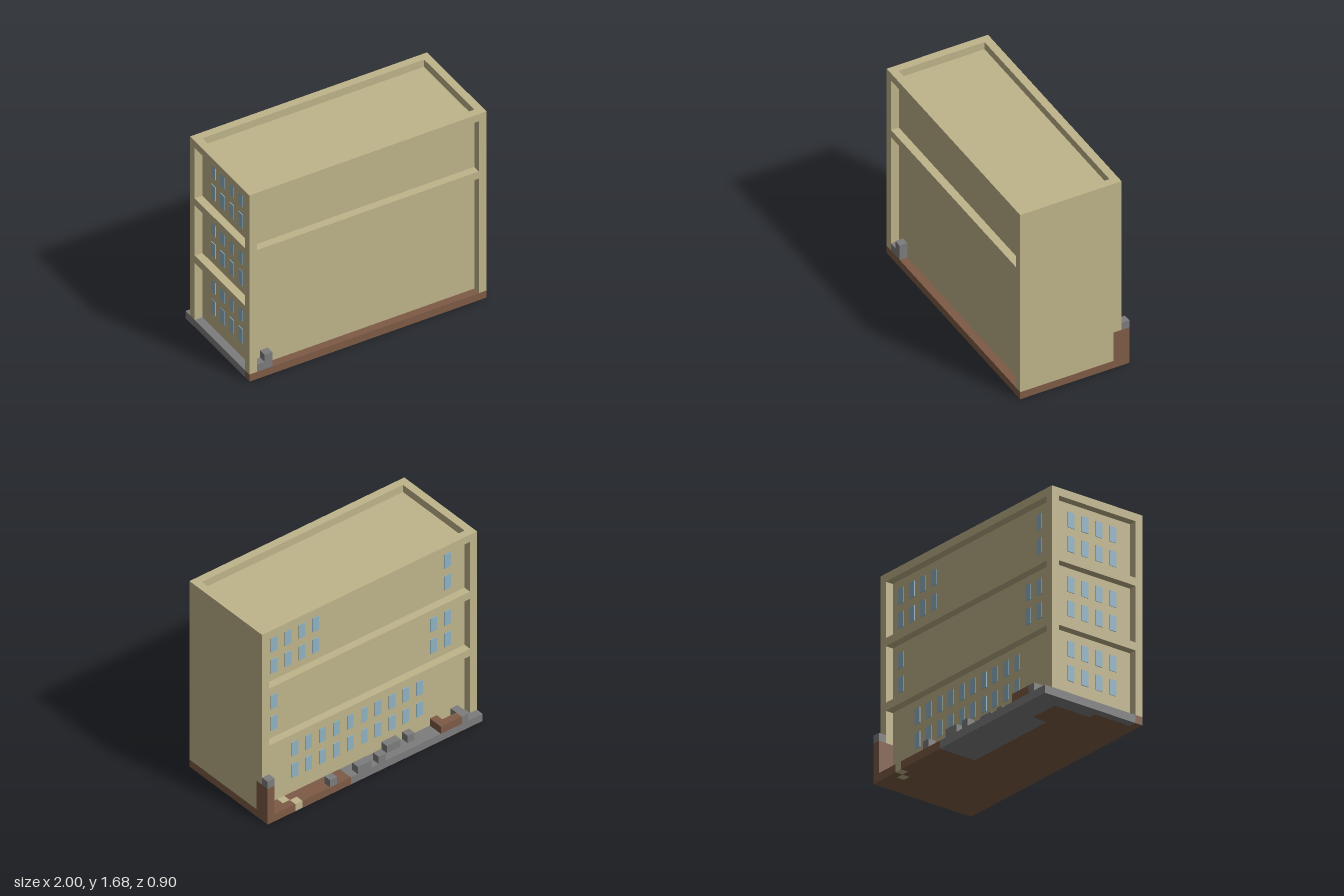
import * as THREE from 'three';

const U = 2 / 31; // one block
const material = (name, color) => {
  const m = new THREE.MeshStandardMaterial({ color });
  m.name = name;
  return m;
};

export function createModel() {
  const model = new THREE.Group();
  model.name = 'building';
  const stone = material('sandstone', 0xbfb48b);
  const soil = material('brown earth', 0x7e5b45);
  const paving = material('grey paving', 0x7c7c7c);
  const glass = material('window blue', 0x8fb2c4);

  // Box given by its limits in blocks: x from the right end, y up, z from the back
  function block(name, mat, x0, x1, y0, y1, z0, z1) {
    const geo = new THREE.BoxGeometry((x1 - x0) * U, (y1 - y0) * U, (z1 - z0) * U);
    const mesh = new THREE.Mesh(geo, mat);
    mesh.position.set(((x0 + x1) / 2 - 15.5) * U, ((y0 + y1) / 2) * U, ((z0 + z1) / 2 - 7) * U);
    mesh.name = name;
    model.add(mesh);
  }

  // Ground slab: x0, x1, z0, z1
  [[0, 2, 0, 8], [0, 1, 8, 13], [2, 6, 0, 3], [6, 19, 0, 5]]
    .forEach(([a, b, c, d]) => block('pavedGround', paving, a, b, 0, 1, c, d));
  [[19, 26, 0, 1], [27, 31, 0, 1], [19, 27, 1, 2], [28, 31, 1, 2], [19, 31, 2, 5],
    [2, 6, 3, 5], [2, 31, 5, 8], [1, 31, 8, 13], [0, 31, 13, 14]]
    .forEach(([a, b, c, d]) => block('earthGround', soil, a, b, 0, 1, c, d));
  block('steppingStone', stone, 26, 27, 0, 1, 0, 1);
  block('steppingStone', stone, 27, 28, 0, 1, 1, 2);

  // Core, blank left wall and corner posts
  block('core', stone, 1, 30, 1, 25, 2, 13);
  block('leftWall', stone, 30, 31, 1, 25, 2, 14);
  block('leftBackPost', stone, 30, 31, 5, 25, 1, 2);
  block('rightBackPost', stone, 0, 1, 1, 25, 1, 2);
  block('rightFrontPost', stone, 0, 1, 1, 25, 13, 14);

  // Floor beams
  for (const y of [9, 17]) {
    block('backBeam', stone, 1, 30, y, y + 1, 1, 2);
    block('rightBeam', stone, 0, 1, y, y + 1, 2, 13);
  }
  block('frontBeam', stone, 1, 30, 17, 18, 13, 14);

  // Roof parapet
  block('backParapet', stone, 0, 31, 25, 26, 1, 2);
  block('frontParapet', stone, 0, 31, 25, 26, 13, 14);
  block('rightParapet', stone, 0, 1, 25, 26, 2, 13);
  block('leftParapet', stone, 30, 31, 25, 26, 2, 13);

  // Broken pillar at the back left corner
  block('pillarFoot', soil, 30, 31, 1, 5, 0, 2);
  block('pillarCap', paving, 30, 31, 5, 6, 0, 1);

  // Rubble: x0, x1, y1, z0, z1
  [[21, 22, 2, 0, 1], [16, 18, 2, 0, 1], [14, 15, 2, 0, 1], [11, 13, 2, 1, 2],
    [9, 10, 2, 1, 2], [2, 3, 2, 0, 2], [1, 2, 2, 13, 14], [2, 3, 3, 13, 14]]
    .forEach(([a, b, h, c, d]) => block('rubble', paving, a, b, 1, h, c, d));
  block('earthMound', soil, 3, 6, 1, 2, 0, 1);
  block('earthMound', soil, 5, 6, 1, 2, 1, 2);

  // Windows: thin panes in two rows per storey
  const T = 0.08, G = 0.04;
  const storeys = [
    { rows: [3, 6], back: [7, 9, 11, 13, 15, 17, 19, 21, 23, 25] },
    { rows: [11, 14], back: [3, 5, 28] },
    { rows: [19, 22], back: [3, 22, 24, 26, 28] },
  ];
  for (const { rows, back } of storeys) {
    for (const y of rows) {
      for (const x of back) {
        block('backWindow', glass, x + G, x + 1 - G, y + G, y + 2 - G, 2 - T, 2);
      }
      for (const z of [4, 6, 8, 10]) {
        block('rightWindow', glass, 1 - T, 1, y + G, y + 2 - G, z + G, z + 1 - G);
      }
    }
  }
  return model;
}
